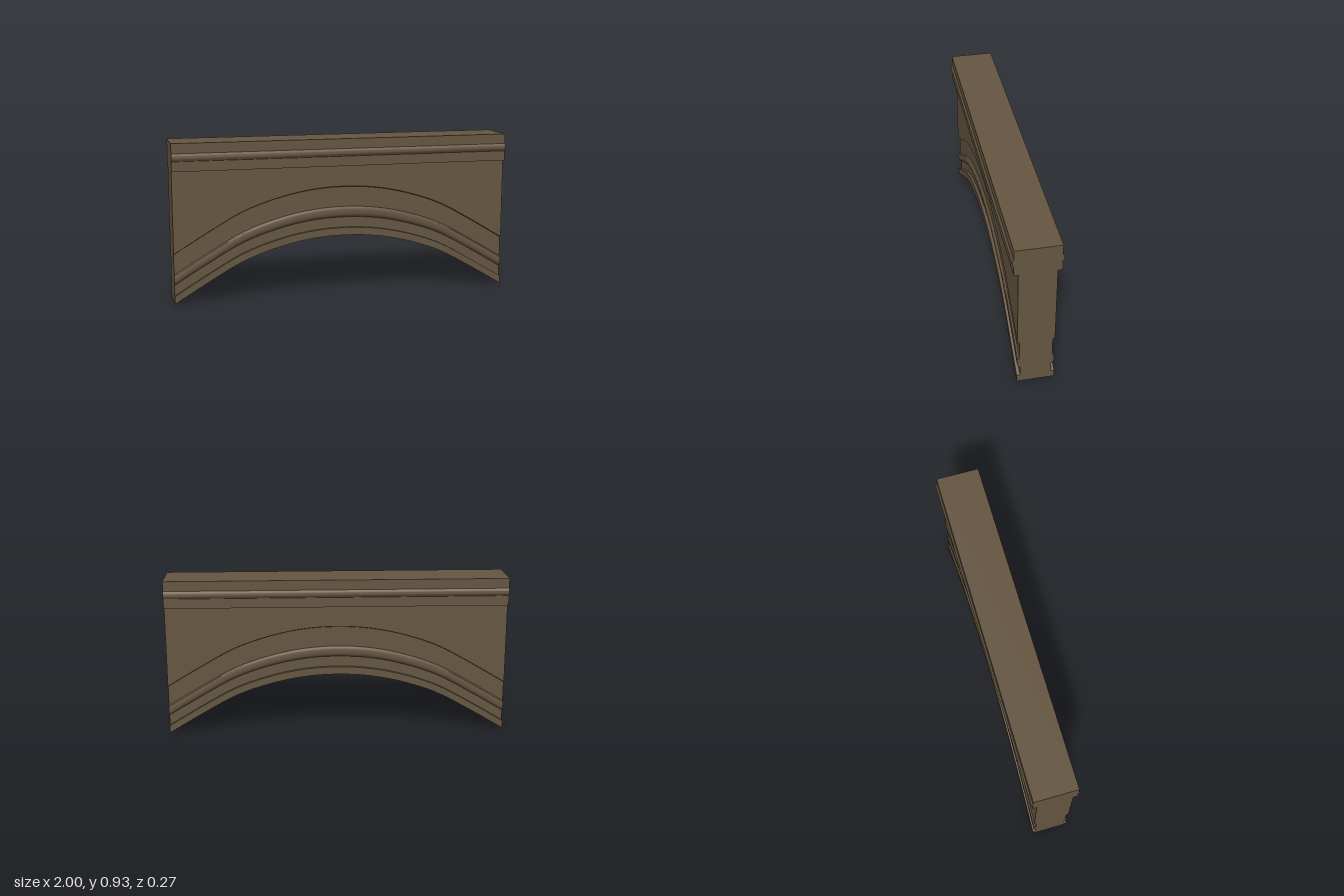
import * as THREE from 'three';
import { toCreasedNormals } from 'three/addons/utils/BufferGeometryUtils.js';

const CREASE = 0.66;

// Closed outline (z, y) from one front half, mirrored to the back
function mirrorOutline(half) {
  return [...half, ...half.slice().reverse().map(([z, y]) => [-z, y])];
}

function toShape(outline) {
  return new THREE.Shape(outline.map(([z, y]) => new THREE.Vector2(z, y)));
}

// Rise of the arch from springing to crown
const archCurve = new THREE.SplineCurve(
  [[-1, 0], [-0.8, 0.12], [-0.6, 0.23], [-0.4, 0.3], [-0.2, 0.342], [0, 0.355],
    [0.2, 0.342], [0.4, 0.3], [0.6, 0.23], [0.8, 0.12], [1, 0]].map(([x, y]) => new THREE.Vector2(x, y))
);

// Front half of the moulding (z, height above the arch), ending below the wall
const moulding = [
  [0.105, 0], [0.105, 0.045], [0.086, 0.045], [0.086, 0.106], // rim and groove
  [0.097, 0.113], [0.103, 0.126], [0.103, 0.152], [0.1, 0.163], [0.091, 0.17], // roll
  [0.091, 0.288], [0.103, 0.293], // recessed band and wall edge
];
const WALL_TOP = 0.77;

function sectionAt(rise) {
  return mirrorOutline([...moulding.map(([z, y]) => [z, y + rise]), [0.103, WALL_TOP]]);
}

// Loft the section along the arch
function archGeometry() {
  const stations = archCurve.getPoints(40);
  const positions = [];
  const indices = [];
  const count = sectionAt(0).length;
  stations.forEach((p, i) => {
    for (const [z, y] of sectionAt(p.y)) positions.push(p.x, y, z);
    if (i === 0) return;
    for (let j = 0; j < count; j++) {
      const k = (j + 1) % count;
      const a = (i - 1) * count + j, d = (i - 1) * count + k;
      const b = i * count + j, c = i * count + k;
      indices.push(a, b, c, a, c, d);
    }
  });
  const geometry = new THREE.BufferGeometry();
  geometry.setAttribute('position', new THREE.Float32BufferAttribute(positions, 3));
  geometry.setIndex(indices);
  return toCreasedNormals(geometry, CREASE);
}

// Straight cornice with a half-round bead
function corniceGeometry() {
  const half = [[0.127, WALL_TOP]];
  const limit = Math.acos(0.02 / 0.03);
  for (let i = 0; i <= 8; i++) {
    const a = -limit + (2 * limit * i) / 8;
    half.push([0.107 + 0.03 * Math.cos(a), 0.85 + 0.03 * Math.sin(a)]);
  }
  half.push([0.127, 0.93]);
  const geometry = new THREE.ExtrudeGeometry(toShape(mirrorOutline(half)), {
    depth: 2, bevelEnabled: false, steps: 1,
  });
  geometry.rotateY(Math.PI / 2).translate(-1, 0, 0);
  return toCreasedNormals(geometry, CREASE);
}

export function createModel() {
  const group = new THREE.Group();
  group.name = 'archedWall';
  const stone = new THREE.MeshStandardMaterial({ color: 0x645540 });
  stone.name = 'brownStone';

  const add = (name, geometry) => {
    const mesh = new THREE.Mesh(geometry, stone);
    mesh.name = name;
    group.add(mesh);
    return mesh;
  };

  add('mouldedArch', archGeometry());
  add('cornice', corniceGeometry());

  // Flat ends of the arch
  for (const side of [-1, 1]) {
    const end = add(side > 0 ? 'leftEnd' : 'rightEnd', new THREE.ShapeGeometry(toShape(sectionAt(0))));
    end.rotation.y = side * Math.PI / 2;
    end.position.x = side;
  }
  return group;
}
